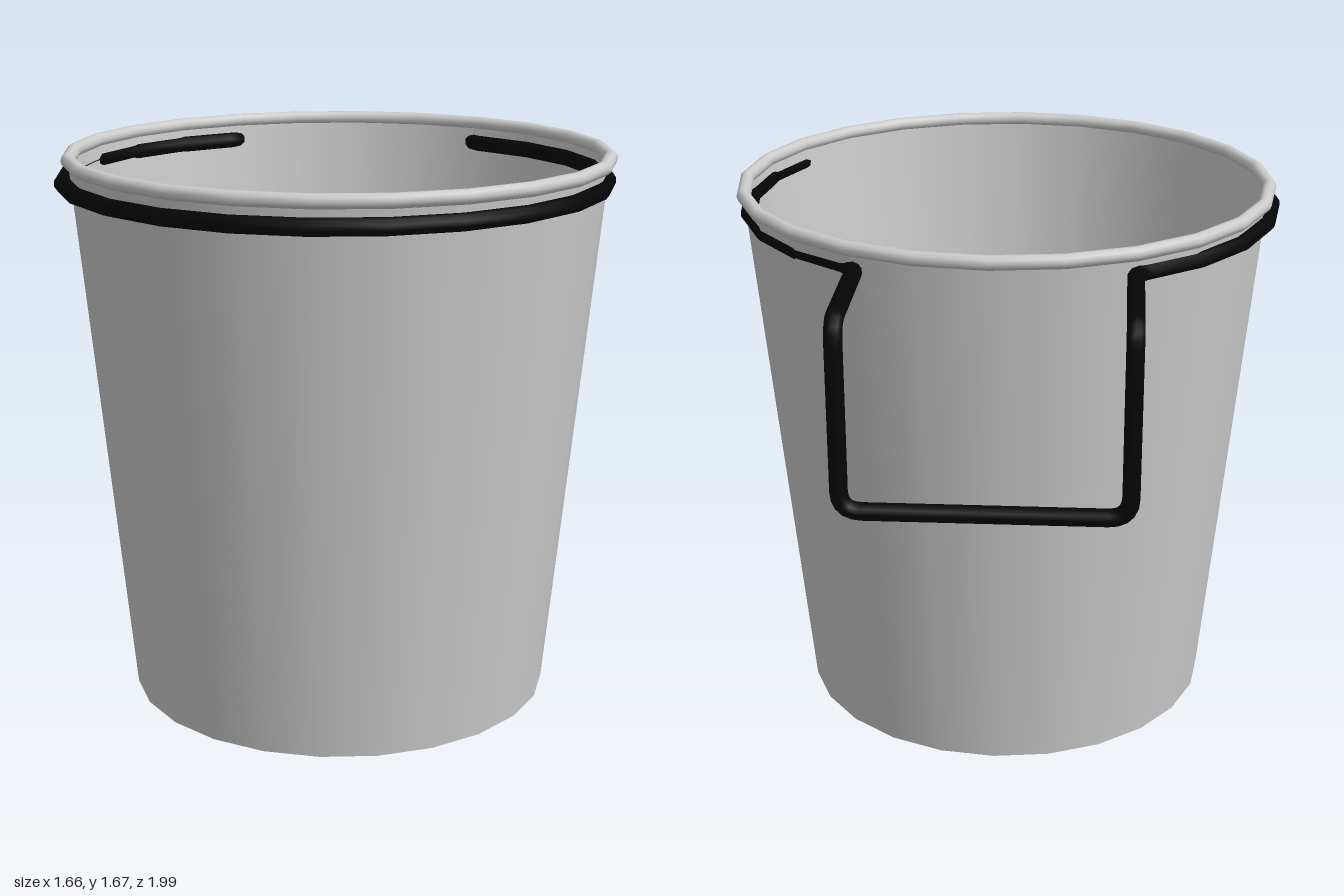
import * as THREE from 'three';

const SIDES = 24;

// Curve that passes through the listed points one by one, so a tube keeps its facets
class PolyLoop extends THREE.Curve {
  constructor(pts) { super(); this.pts = pts; }
  at(i) { const n = this.pts.length; return this.pts[((i % n) + n) % n]; }
  getPoint(t) { return this.at(Math.round(t * this.pts.length)).clone(); }
  getPointAt(t) { return this.getPoint(t); }
  getTangentAt(t) {
    const i = Math.round(t * this.pts.length);
    const a = this.at(i).clone().sub(this.at(i - 1)).normalize();
    const b = this.at(i + 1).clone().sub(this.at(i)).normalize();
    return a.add(b).normalize();
  }
}

// Rounds the corner b between a and c
function roundCorner(a, b, c, r, steps = 5) {
  const p = b.clone().add(a.clone().sub(b).setLength(r));
  const q = b.clone().add(c.clone().sub(b).setLength(r));
  return new THREE.QuadraticBezierCurve3(p, b, q).getPoints(steps);
}

export function createModel() {
  const group = new THREE.Group();
  const grey = new THREE.MeshStandardMaterial({ color: 0xcccccc });
  const greyInside = new THREE.MeshStandardMaterial({ color: 0xcccccc, side: THREE.BackSide });
  const black = new THREE.MeshStandardMaterial({ color: 0x050505 });
  const add = (name, geo, mat, parent) => {
    const m = new THREE.Mesh(geo, mat);
    m.name = name;
    parent.add(m);
    return m;
  };

  // Tapered cup with a thin wall
  const cup = new THREE.Group();
  cup.name = 'cup';
  cup.position.set(0.005, 0, 0.14);
  group.add(cup);
  const H = 1.65, topR = 0.8, baseR = 0.642, wall = 0.01;
  add('outerWall', new THREE.CylinderGeometry(topR, baseR, H, SIDES, 1, true), grey, cup).position.y = H / 2;
  add('innerWall', new THREE.CylinderGeometry(topR - wall, baseR - wall, H - wall, SIDES, 1, true), greyInside, cup)
    .position.y = (H + wall) / 2;

  // Base discs: underside and inner floor
  const disc = (r, dir) => new THREE.CircleGeometry(r, SIDES).rotateX(dir * Math.PI / 2);
  add('underside', disc(baseR, 1), grey, cup);
  add('innerFloor', disc(baseR - wall, -1), grey, cup).position.y = wall;

  // Rolled rim
  add('rim', new THREE.TorusGeometry(topR, 0.021, 10, SIDES).rotateX(Math.PI / 2), grey, cup).position.y = H;

  // Wire holder: a ring open at the back that continues into a hanging hook
  const V = (x, y, z) => new THREE.Vector3(x, y, z);
  const ringY = 1.588, ringR = 0.802, ringZ = 0.168, hookX = 0.387, backZ = -0.975, lowY = 1.055;
  const ring = [];
  for (let i = 2; i <= SIDES - 2; i++) {
    const a = Math.PI + (i / SIDES) * Math.PI * 2;
    ring.push(V(Math.sin(a) * ringR, ringY, ringZ + Math.cos(a) * ringR));
  }
  const end = ring[ring.length - 1], start = ring[0];
  const sx = Math.sign(end.x) * hookX;
  const corners = [
    V(sx, ringY, end.z - 0.012), V(sx, ringY, backZ), V(sx, lowY, backZ),
    V(-sx, lowY, backZ), V(-sx, ringY, backZ), V(-sx, ringY, start.z - 0.012),
  ];
  // The ring ends are replaced by soft bends into the hook
  const path = ring.slice(1, -1);
  corners.forEach((c, i) => {
    const before = i === 0 ? ring[ring.length - 2] : corners[i - 1];
    const after = i === 5 ? ring[1] : corners[i + 1];
    path.push(...roundCorner(before, c, after, i === 0 || i === 5 ? 0.04 : 0.06));
  });
  add('wireHolder', new THREE.TubeGeometry(new PolyLoop(path), path.length, 0.025, 10, true), black, group)
    .position.x = -0.005;

  return group;
}
